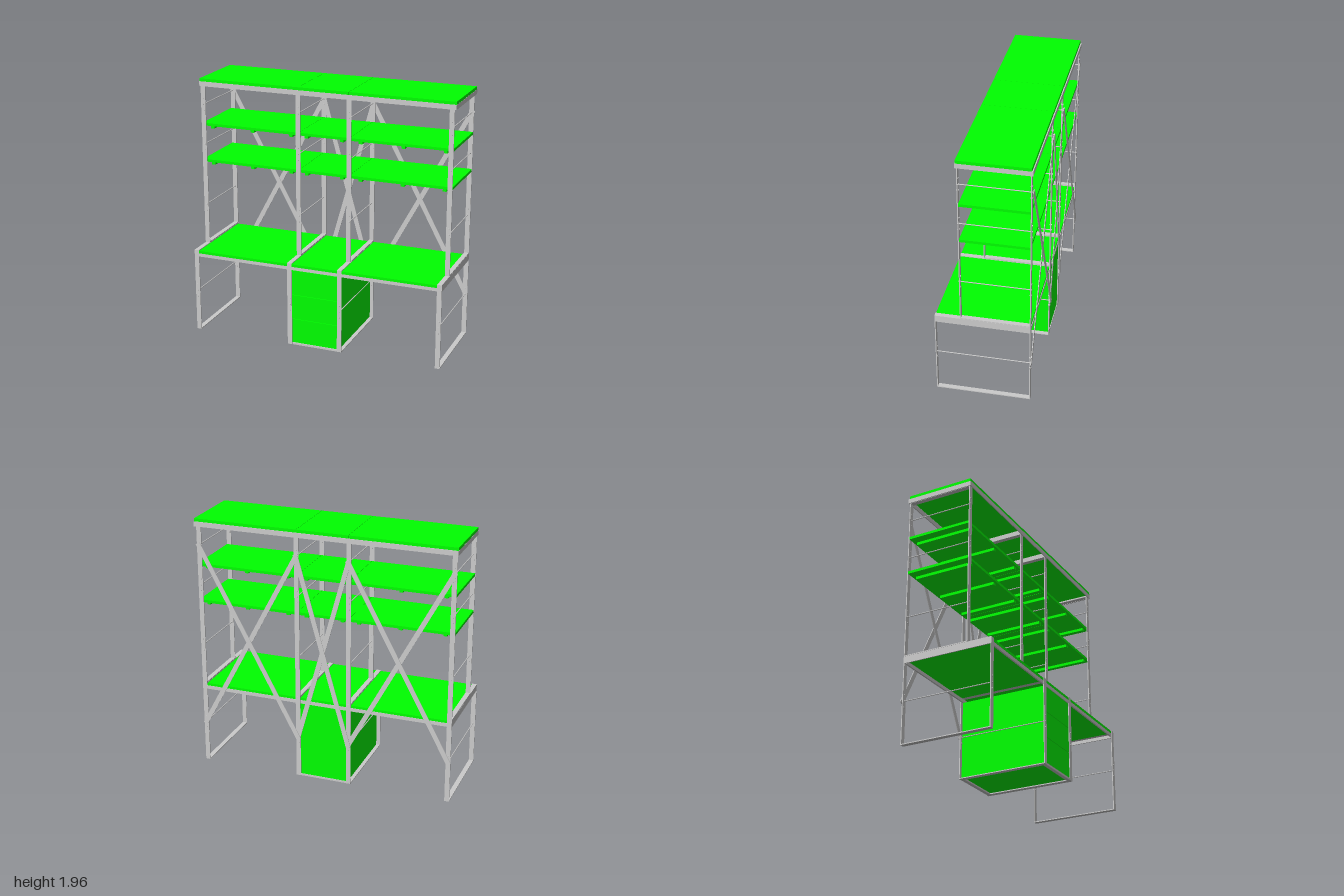
import * as THREE from 'three';

const GREY = new THREE.MeshStandardMaterial({ color: 0xcccccc });
const GREEN = new THREE.MeshStandardMaterial({ color: 0x00ff00 });

const FRAME_X = [-0.976, -0.203, 0.198, 0.967];
const STRIP = 0.036;   // width of the steel strip
const T = 0.007;       // thickness of the steel strip
const FRONT = 0.355, SHELF_FRONT = 0.168, BACK = -0.342;

// Box given by its two extremes on each axis
function box(parent, name, mat, x0, x1, y0, y1, z0, z1) {
  const m = new THREE.Mesh(new THREE.BoxGeometry(x1 - x0, y1 - y0, z1 - z0), mat);
  m.name = name;
  m.position.set((x0 + x1) / 2, (y0 + y1) / 2, (z0 + z1) / 2);
  parent.add(m);
  return m;
}

// Cylinder lying along z
function rod(parent, name, x, y, z0, z1, r, sides) {
  const g = new THREE.CylinderGeometry(r, r, z1 - z0, sides).rotateX(Math.PI / 2);
  const m = new THREE.Mesh(g, GREY);
  m.name = name;
  m.position.set(x, y, (z0 + z1) / 2);
  parent.add(m);
}

// Flat strip bent into a closed rectangle
function stripLoop(parent, name, x, y0, y1, z0, z1) {
  const s = new THREE.Shape();
  s.moveTo(z0, y0).lineTo(z1, y0).lineTo(z1, y1).lineTo(z0, y1).closePath();
  const h = new THREE.Path();
  h.moveTo(z0 + T, y0 + T).lineTo(z0 + T, y1 - T).lineTo(z1 - T, y1 - T).lineTo(z1 - T, y0 + T).closePath();
  s.holes.push(h);
  const g = new THREE.ExtrudeGeometry(s, { depth: STRIP, bevelEnabled: false });
  g.translate(0, 0, -STRIP / 2).rotateY(-Math.PI / 2).scale(1, 1, 1);
  const m = new THREE.Mesh(g, GREY);
  m.name = name;
  m.position.x = x;
  parent.add(m);
}

// Cross rod with its end nuts and the bolts above and below it
function tie(parent, x, y, z0, z1) {
  rod(parent, 'tieRod', x, y, z0, z1, 0.004, 8);
  for (const z of [z0, z1]) {
    for (const dy of [-0.046, 0, 0.046]) {
      rod(parent, 'bolt', x, y + dy, z - 0.008, z + 0.008, 0.007, 8);
    }
  }
}

// Flat diagonal strip between two points on the back
function brace(parent, xa, ya, xb, yb, z) {
  const len = Math.hypot(xb - xa, yb - ya);
  const m = new THREE.Mesh(new THREE.BoxGeometry(STRIP, len + 0.03, 0.005), GREY);
  m.name = 'diagonalBrace';
  m.position.set((xa + xb) / 2, (ya + yb) / 2, z);
  m.rotation.z = -Math.atan2(xb - xa, yb - ya);
  parent.add(m);
}

export function createModel() {
  const model = new THREE.Group();
  model.name = 'shelvingDesk';

  // Side frames: a deep one below, a shallow one standing on it
  const frames = new THREE.Group();
  frames.name = 'frames';
  model.add(frames);
  for (const x of FRAME_X) {
    stripLoop(frames, 'lowerFrame', x, 0, 0.656, BACK, FRONT);
    stripLoop(frames, 'upperFrame', x, 0.657, 1.905, BACK, SHELF_FRONT);
    tie(frames, x, 0.325, BACK + T / 2, FRONT - T / 2);
    for (const y of [0.97, 1.45, 1.76]) tie(frames, x, y, BACK + T / 2, SHELF_FRONT - T / 2);
  }

  // Desk boards carried on rails
  const desk = new THREE.Group();
  desk.name = 'desk';
  model.add(desk);
  const bays = [0, 1, 2].map((i) => [FRAME_X[i], FRAME_X[i + 1]]);
  const h = STRIP / 2;
  for (const [a, b] of bays) {
    box(desk, 'deskBoard', GREEN, a + h, b - h, 0.63, 0.65, BACK + T, FRONT - 0.002);
    box(desk, 'frontRail', GREY, a, b, 0.604, 0.631, FRONT - 0.015, FRONT - 0.003);
    box(desk, 'backRail', GREY, a, b, 0.604, 0.631, BACK + 0.003, BACK + 0.015);
  }
  FRAME_X.forEach((x) => {
    box(desk, 'sideRail', GREY, x - h, x + h, 0.63, 0.65, BACK + T, FRONT - T);
  });
  box(desk, 'endRail', GREY, FRAME_X[0] - h, FRAME_X[0] - h + 0.008, 0.604, 0.65, BACK + T, FRONT - T);
  box(desk, 'endRail', GREY, FRAME_X[3] + h - 0.008, FRAME_X[3] + h, 0.604, 0.65, BACK + T, FRONT - T);

  // Shelves with cleats underneath
  const shelves = new THREE.Group();
  shelves.name = 'shelves';
  model.add(shelves);
  const edges = [FRAME_X[0] - h, FRAME_X[1], FRAME_X[2], FRAME_X[3] + h];
  const cleats = [-0.915, -0.585, -0.27, -0.145, 0.135, 0.28, 0.605, 0.922];
  for (const top of [1.614, 1.33]) {
    for (let i = 0; i < 3; i++) {
      box(shelves, 'shelfBoard', GREEN, edges[i] + 0.001, edges[i + 1] - 0.001,
        top - 0.02, top, BACK + T, SHELF_FRONT - T);
    }
    for (const x of cleats) {
      box(shelves, 'shelfCleat', GREEN, x - 0.014, x + 0.014, top - 0.042, top - 0.02, -0.31, 0.145);
    }
  }

  // Top boards inside a rim of rails
  const crown = new THREE.Group();
  crown.name = 'topShelf';
  model.add(crown);
  const seams = [-1, -0.2, 0.198, 1];
  for (let i = 0; i < 3; i++) {
    box(crown, 'topBoard', GREEN, seams[i] + 0.001, seams[i + 1] - 0.001, 1.935, 1.958, -0.343, 0.173);
  }
  box(crown, 'topFrontRail', GREY, -1, 1, 1.9, 1.936, 0.169, 0.176);
  box(crown, 'topBackRail', GREY, -1, 1, 1.9, 1.936, -0.352, -0.345);
  for (const x of [-0.996, 0.996]) {
    box(crown, 'topEndRail', GREY, x - 0.004, x + 0.004, 1.9, 1.935, -0.345, 0.169);
  }
  for (const x of FRAME_X.slice(1, 3)) {
    box(crown, 'topCrossRail', GREY, x - h, x + h, 1.905, 1.935, -0.345, 0.169);
  }

  // Crossed braces on the back of each bay
  const braces = new THREE.Group();
  braces.name = 'backBraces';
  model.add(braces);
  for (const [a, b] of bays) {
    brace(braces, a, 1.76, b, 0.325, -0.346);
    brace(braces, b, 1.76, a, 0.325, -0.352);
  }

  // Drawer cabinet in the middle bay
  const cabinet = new THREE.Group();
  cabinet.name = 'drawerCabinet';
  model.add(cabinet);
  const [cl, cr] = bays[1];
  box(cabinet, 'cabinetBody', GREEN, cl + 0.008, cr - 0.008, 0.012, 0.604, BACK + T, 0.335);
  const rows = [0.016, 0.21, 0.405, 0.602];
  for (let i = 0; i < 3; i++) {
    box(cabinet, 'drawerFront', GREEN, cl + h + 0.001, cr - h - 0.001,
      rows[i] + 0.002, rows[i + 1] - 0.002, 0.335, 0.35);
  }
  box(cabinet, 'plinthRail', GREY, cl + h, cr - h, 0, 0.015, FRONT - 0.03, FRONT - 0.002);
  box(cabinet, 'plinthRail', GREY, cl + h, cr - h, 0, 0.015, BACK + 0.002, BACK + 0.03);

  return model;
}
